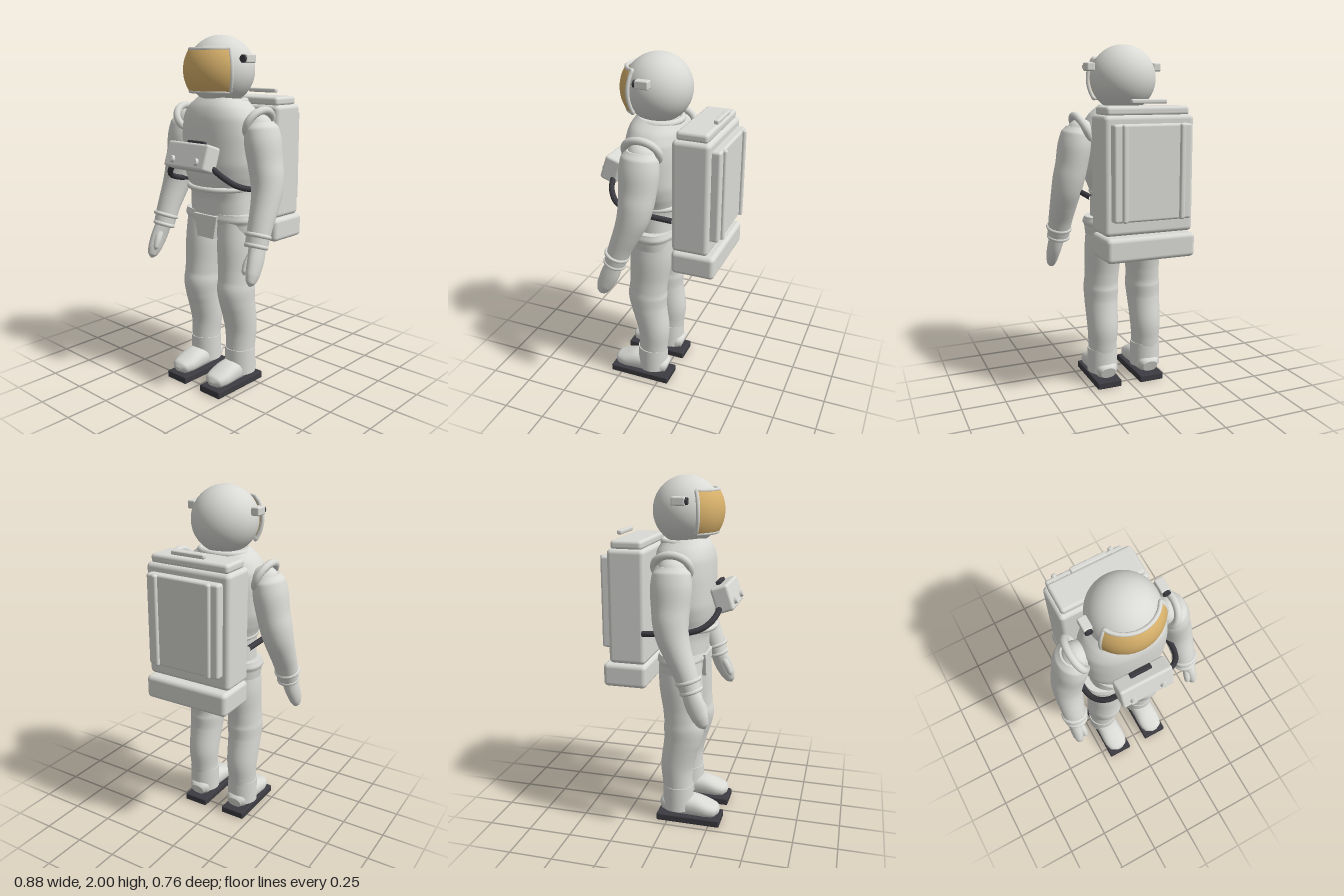
import * as THREE from 'three';
import { RoundedBoxGeometry } from 'three/addons/geometries/RoundedBoxGeometry.js';

const material = (name, color) => Object.assign(new THREE.MeshStandardMaterial({ color }), { name });
const V = (x, y, z) => new THREE.Vector3(x, y, z);

// Skin over elliptical sections [x, y, z, halfWidth, halfDepth], set square to their path
function loft(sections, power = 2, steps = 40, sides = 40) {
  const path = new THREE.CatmullRomCurve3(sections.map((s) => V(s[0], s[1], s[2])));
  const radii = new THREE.CatmullRomCurve3(sections.map((s) => V(s[3], s[4], 0)));
  const pos = [], index = [];
  const round = (v) => Math.sign(v) * Math.abs(v) ** (2 / power);
  for (let i = 0; i <= steps; i++) {
    const c = path.getPoint(i / steps), r = radii.getPoint(i / steps), t = path.getTangent(i / steps);
    const n = V(1, 0, 0).addScaledVector(t, -t.x).normalize(), b = t.clone().cross(n);
    for (let j = 0; j < sides; j++) {
      const a = (j / sides) * Math.PI * 2;
      const p = c.clone().addScaledVector(n, r.x * round(Math.cos(a))).addScaledVector(b, r.y * round(Math.sin(a)));
      pos.push(p.x, p.y, p.z);
      if (i === steps) continue;
      const k = (j + 1) % sides, q = i * sides;
      index.push(q + j, q + k, q + sides + k, q + j, q + sides + k, q + sides + j);
    }
  }
  // End caps with their own vertices so the edges stay sharp
  for (const end of [0, steps]) {
    const c = path.getPoint(end / steps), base = pos.length / 3;
    pos.push(c.x, c.y, c.z, ...pos.slice(end * sides * 3, (end + 1) * sides * 3));
    for (let j = 0; j < sides; j++) {
      const a = base + 1 + j, b = base + 1 + ((j + 1) % sides);
      index.push(base, end ? a : b, end ? b : a);
    }
  }
  const g = new THREE.BufferGeometry();
  g.setAttribute('position', new THREE.Float32BufferAttribute(pos, 3));
  g.setIndex(index);
  g.computeVertexNormals();
  return g;
}

const tube = (points, r, closed = false, steps = 48) =>
  new THREE.TubeGeometry(new THREE.CatmullRomCurve3(points, closed), steps, r, 12, closed);

// Horizontal elliptical ring around the origin
function ring(a, b, r) {
  const points = [];
  for (let i = 0; i < 24; i++) {
    const t = (i / 24) * Math.PI * 2;
    points.push(V(a * Math.cos(t), 0, b * Math.sin(t)));
  }
  return tube(points, r, true, 64);
}

export function createModel() {
  const suit = material('suit white', 0xd9d9d5);
  const dark = material('dark rubber', 0x3b3b41);
  const gold = material('gold visor', 0xd9b26c);
  gold.side = THREE.DoubleSide;
  const model = new THREE.Group();
  model.name = 'astronaut';
  const add = (name, geometry, mat = suit, at = [0, 0, 0], rot = [0, 0, 0], parent = model) => {
    const m = new THREE.Mesh(geometry, mat);
    m.name = name;
    m.position.set(...at);
    m.rotation.set(...rot);
    parent.add(m);
    return m;
  };
  const box = (w, h, d, r = 0.015) => new RoundedBoxGeometry(w, h, d, 4, r);

  // Helmet with raised visor and rim
  const head = [0, 1.812, 0.064];
  add('helmet', new THREE.SphereGeometry(0.188, 56, 40), suit, head);
  const phi = 1.03, lat = 0.575;
  add('visor', new THREE.SphereGeometry(0.209, 40, 24, Math.PI / 2 - phi, phi * 2, Math.PI / 2 - lat, lat * 2), gold, head);
  const onHead = (lon, la) => V(Math.sin(lon) * Math.cos(la), Math.sin(la), Math.cos(lon) * Math.cos(la)).multiplyScalar(0.203);
  const rim = [];
  const corners = [[-1, -1], [1, -1], [1, 1], [-1, 1]];
  corners.forEach(([u, v], i) => {
    const [u2, v2] = corners[(i + 1) % 4];
    for (let k = 0; k < 12; k++) {
      const f = k / 12;
      rim.push(onHead((u + (u2 - u) * f) * (phi + 0.01), (v + (v2 - v) * f) * (lat + 0.01)));
    }
  });
  add('visorRim', tube(rim, 0.011, true, 160), suit, head);

  // Torso, rings and hips
  add('torso', loft([
    [0, 0.9, 0.055, 0.19, 0.12], [0, 1.0, 0.058, 0.2, 0.13], [0, 1.1, 0.06, 0.198, 0.13],
    [0, 1.17, 0.06, 0.2, 0.145], [0, 1.24, 0.06, 0.225, 0.162], [0, 1.32, 0.06, 0.245, 0.17],
    [0, 1.45, 0.06, 0.247, 0.17], [0, 1.55, 0.06, 0.236, 0.165], [0, 1.61, 0.055, 0.2, 0.15],
    [0, 1.66, 0.05, 0.14, 0.12],
  ], 2.3, 60, 56));
  add('neckRing', ring(0.135, 0.115, 0.018), suit, [0, 1.645, 0.05]);
  add('waistRing', ring(0.19, 0.172, 0.015), suit, [0, 1.17, 0.062]);
  add('hips', loft([[0, 0.925, 0.055, 0.232, 0.125], [0, 0.98, 0.055, 0.238, 0.13], [0, 1.03, 0.055, 0.238, 0.13]], 2.5, 10, 56));
  const flap = new THREE.Shape([[-0.085, 1.015], [-0.06, 0.89], [0.06, 0.89], [0.085, 1.015]].map((p) => new THREE.Vector2(...p)));
  add('frontFlap', new THREE.ExtrudeGeometry(flap, { depth: 0.035, bevelSize: 0.004, bevelThickness: 0.004, bevelSegments: 2 }), suit, [0, 0, 0.16]);

  // Chest control box, leaning back
  const chest = new THREE.Group();
  chest.name = 'chestPack';
  chest.position.set(0, 1.355, 0.297);
  chest.rotation.x = -0.33;
  model.add(chest);
  add('chestBox', box(0.31, 0.145, 0.1), suit, [0, 0, 0], [0, 0, 0], chest);
  add('chestHandle', box(0.126, 0.022, 0.028, 0.006), dark, [0, 0.082, -0.015], [0, 0, 0], chest);

  // Backpack
  add('backpackBody', box(0.52, 0.64, 0.21, 0.025), suit, [0, 1.3, -0.215]);
  add('backpackTop', box(0.48, 0.05, 0.175, 0.018), suit, [0, 1.64, -0.215]);
  add('backpackBase', box(0.52, 0.135, 0.25, 0.025), suit, [0, 0.907, -0.232]);
  add('backpackPanel', box(0.45, 0.515, 0.06, 0.014), suit, [0, 1.318, -0.338]);
  add('backpackHandle', box(0.205, 0.024, 0.028, 0.008), suit, [0, 1.69, -0.297]);

  for (const s of [1, -1]) {
    const side = new THREE.Group();
    side.name = s > 0 ? 'leftSide' : 'rightSide';
    model.add(side);
    const part = (name, g, mat = suit, at, rot) => add(name, g, mat, at, rot, side);
    const limb = (sections, power, steps) => loft(sections.map(([x, ...rest]) => [s * x, ...rest]), power, steps);

    // Helmet lamp
    part('lampBody', box(0.048, 0.046, 0.076, 0.008), suit, [s * 0.202, 1.875, 0.068]);
    part('lampLens', new THREE.CylinderGeometry(0.02, 0.02, 0.014, 24), dark, [s * 0.204, 1.875, 0.11], [Math.PI / 2, 0, 0]);

    // Arm
    part('shoulder', new THREE.SphereGeometry(0.08, 32, 20), suit, [s * 0.262, 1.51, 0.052]);
    part('shoulderRing', ring(0.08, 0.098, 0.021), suit, [s * 0.265, 1.535, 0.05], [0, 0, s * 1.14]);
    part('arm', limb([
      [0.282, 1.545, 0.052, 0.058, 0.075], [0.286, 1.51, 0.053, 0.085, 0.103], [0.3, 1.43, 0.054, 0.094, 0.112],
      [0.318, 1.33, 0.056, 0.09, 0.104], [0.333, 1.26, 0.06, 0.09, 0.098], [0.345, 1.19, 0.072, 0.085, 0.09],
      [0.354, 1.11, 0.1, 0.078, 0.078], [0.361, 1.01, 0.142, 0.07, 0.066], [0.365, 0.91, 0.178, 0.064, 0.06],
    ], 2, 60));
    for (const [i, y, z, r] of [[1, 0.955, 0.166, 0.064], [2, 0.9, 0.182, 0.056]])
      part('wristRing' + i, ring(r, r * 0.95, 0.012), suit, [s * (0.363 + i * 0.001), y, z], [-0.34, 0, s * 0.05]);

    // Glove
    part('hand', limb([
      [0.37, 0.91, 0.175, 0.046, 0.048], [0.383, 0.83, 0.206, 0.04, 0.054], [0.39, 0.76, 0.238, 0.033, 0.046],
      [0.392, 0.72, 0.257, 0.022, 0.03], [0.392, 0.702, 0.266, 0.004, 0.006],
    ]));
    part('thumb', limb([
      [0.365, 0.88, 0.2, 0.02, 0.022], [0.354, 0.82, 0.24, 0.02, 0.021], [0.352, 0.775, 0.26, 0.016, 0.017],
      [0.353, 0.757, 0.268, 0.003, 0.003],
    ], 2, 20));

    // Leg with knee folds, boot and sole
    part('leg', limb([
      [0.123, 0.98, 0.058, 0.1, 0.12], [0.126, 0.85, 0.065, 0.107, 0.125], [0.131, 0.7, 0.078, 0.1, 0.114],
      [0.134, 0.64, 0.083, 0.099, 0.113], [0.135, 0.59, 0.086, 0.102, 0.118], [0.137, 0.52, 0.08, 0.098, 0.11],
      [0.138, 0.47, 0.07, 0.096, 0.104], [0.139, 0.35, 0.048, 0.091, 0.096], [0.14, 0.26, 0.05, 0.085, 0.089],
      [0.14, 0.2, 0.054, 0.083, 0.087],
    ], 2, 70));
    part('bootCuff', new THREE.CylinderGeometry(0.089, 0.091, 0.147, 40), suit, [s * 0.14, 0.152, 0.055]);
    part('boot', limb([
      [0.137, 0.085, -0.04, 0.045, 0.035], [0.137, 0.095, -0.01, 0.066, 0.052], [0.137, 0.1, 0.08, 0.072, 0.062],
      [0.137, 0.097, 0.16, 0.074, 0.059], [0.137, 0.085, 0.23, 0.074, 0.047], [0.137, 0.076, 0.28, 0.058, 0.036],
      [0.137, 0.07, 0.302, 0.02, 0.014],
    ], 2.4));
    part('sole', box(0.152, 0.043, 0.38, 0.008), dark, [s * 0.136, 0.0215, 0.125]);

    // Chest knob, air hose and backpack rail
    add('chestKnob', new THREE.CylinderGeometry(0.017, 0.021, 0.02, 24), suit, [s * 0.09, -0.03, 0.056], [Math.PI / 2, 0, 0], chest);
    part('hose', tube([
      V(s * 0.145, 1.305, 0.285), V(s * 0.2, 1.265, 0.268), V(s * 0.25, 1.22, 0.22),
      V(s * 0.272, 1.195, 0.15), V(s * 0.272, 1.18, 0.06), V(s * 0.262, 1.165, -0.12),
    ].map((p) => p), 0.016), dark);
    part('backpackRail', box(0.03, 0.515, 0.04, 0.012), suit, [s * 0.166, 1.318, -0.365]);
  }
  return model;
}
